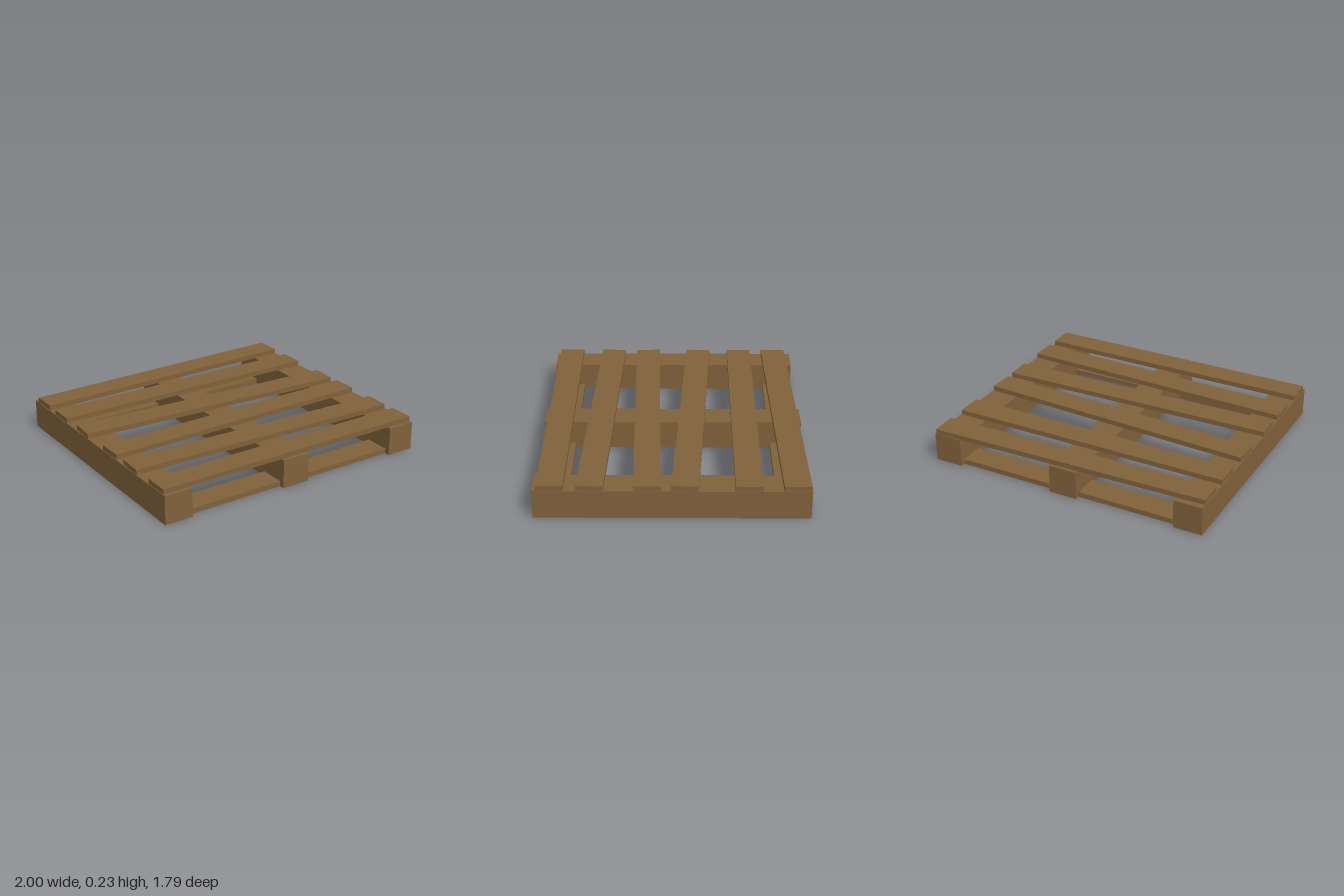
import * as THREE from 'three';

export function createModel() {
  const pallet = new THREE.Group();
  pallet.name = 'pallet';
  const wood = new THREE.MeshStandardMaterial({ color: 0x80613a, flatShading: true });

  function plank(name, size, position, turn = 0) {
    const mesh = new THREE.Mesh(new THREE.BoxGeometry(...size), wood);
    mesh.name = name;
    mesh.position.set(...position);
    mesh.rotation.y = turn;
    pallet.add(mesh);
  }

  // Three runners from front to back
  for (const x of [-0.9, 0, 0.9]) plank('runner', [0.2, 0.2, 1.79], [x, 0.1, 0]);

  // Bottom boards, flush with the underside and fitted between the runners
  for (const z of [-0.773, 0.77]) {
    for (const x of [-0.45, 0.45]) plank('bottomBoard', [0.7, 0.035, 0.178], [x, 0.0175, z]);
  }

  // Crooked deck slats: z of the centre line at the x = -1 and x = +1 ends
  const slats = [
    [-0.763, -0.803], [-0.5, -0.493], [-0.19, -0.083],
    [0.196, 0.158], [0.457, 0.526], [0.782, 0.782],
  ];
  for (const [z0, z1] of slats) {
    plank('deckSlat', [1.99, 0.035, 0.177], [0, 0.2175, (z0 + z1) / 2], -Math.atan2(z1 - z0, 2));
  }
  return pallet;
}
